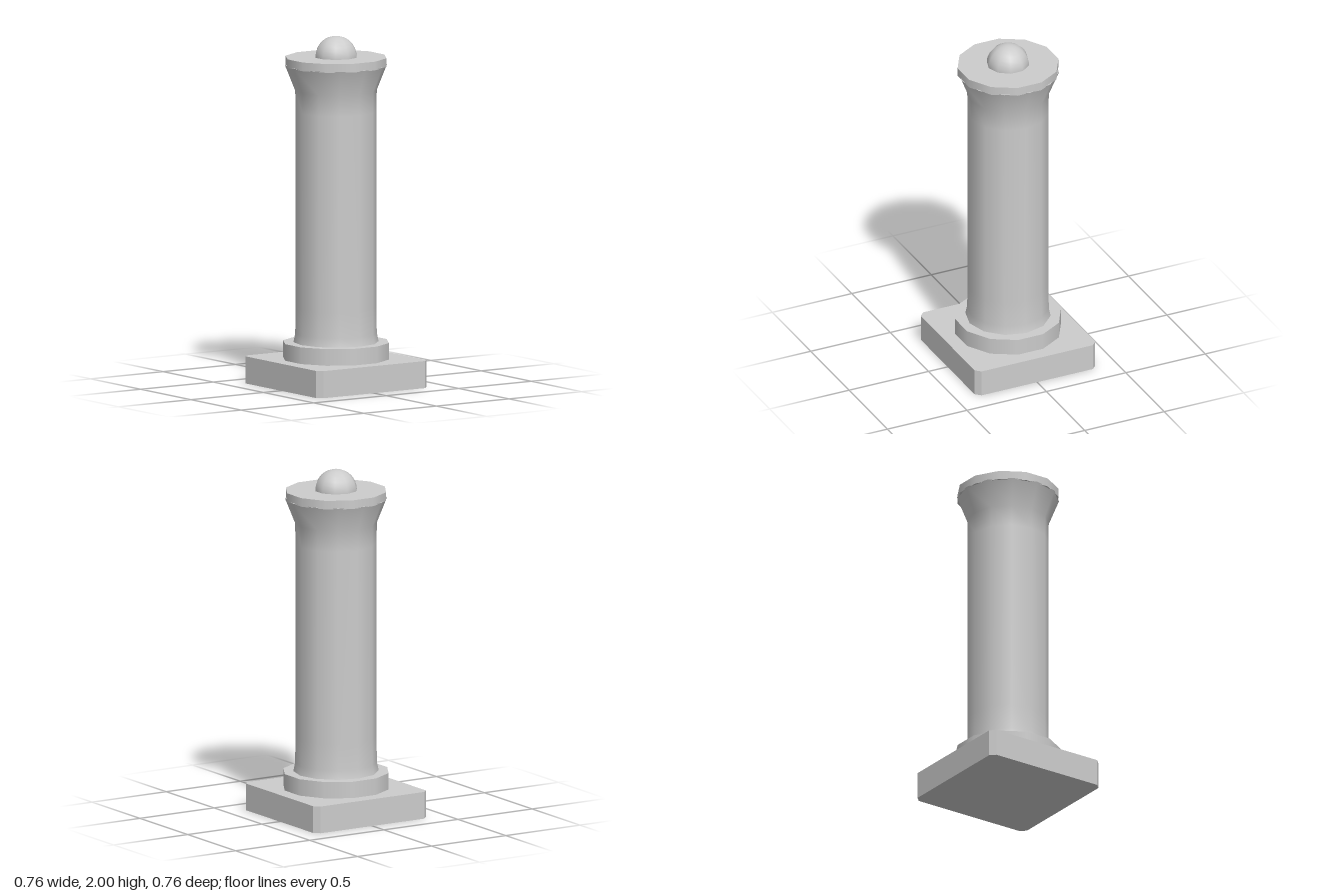
import * as THREE from 'three';

const stone = new THREE.MeshStandardMaterial({ color: 0xcccccc });
stone.name = 'palegreystone';

export function createModel() {
  const column = new THREE.Group();
  column.name = 'column';

  const add = (name, geometry, y = 0) => {
    const mesh = new THREE.Mesh(geometry, stone);
    mesh.name = name;
    mesh.position.y = y;
    column.add(mesh);
    return mesh;
  };

  // Twelve-sided disc with flat faces square to the axes
  const disc = (name, radius, bottom, top) =>
    add(name, new THREE.CylinderGeometry(radius, radius, top - bottom, 12, 1, false, Math.PI / 12), (bottom + top) / 2);

  // Square plinth with cut corners
  const half = 0.38, cut = 0.03, inner = half - cut;
  const outline = new THREE.Shape([
    [inner, -half], [half, -inner], [half, inner], [inner, half],
    [-inner, half], [-half, inner], [-half, -inner], [-inner, -half],
  ].map(([x, y]) => new THREE.Vector2(x, y)));
  const plinth = new THREE.ExtrudeGeometry(outline, { depth: 0.155, bevelEnabled: false });
  plinth.rotateX(-Math.PI / 2);
  add('plinth', plinth);

  // Round base above the plinth
  disc('baseDrum', 0.305, 0.155, 0.25);

  // Shaft with a slight foot and a flared capital
  const profile = [[0.242, 0.25], [0.232, 0.3], [0.23, 0.45], [0.23, 1.57], [0.232, 1.69], [0.29, 1.835]];
  add('shaft', new THREE.LatheGeometry(profile.map(([r, y]) => new THREE.Vector2(r, y)), 12));

  // Top face of the capital, whose corners peep out under the slab
  const capitalTop = new THREE.CircleGeometry(0.29, 12);
  capitalTop.rotateX(-Math.PI / 2);
  add('capitalTop', capitalTop, 1.835);

  // Slab on the capital
  disc('topSlab', 0.291, 1.83, 1.88);

  // Domed finial
  const dome = new THREE.SphereGeometry(0.122, 10, 8, 0, Math.PI * 2, 0, Math.PI / 2);
  dome.rotateY(Math.PI / 2);
  add('finial', dome, 1.878);

  return column;
}
